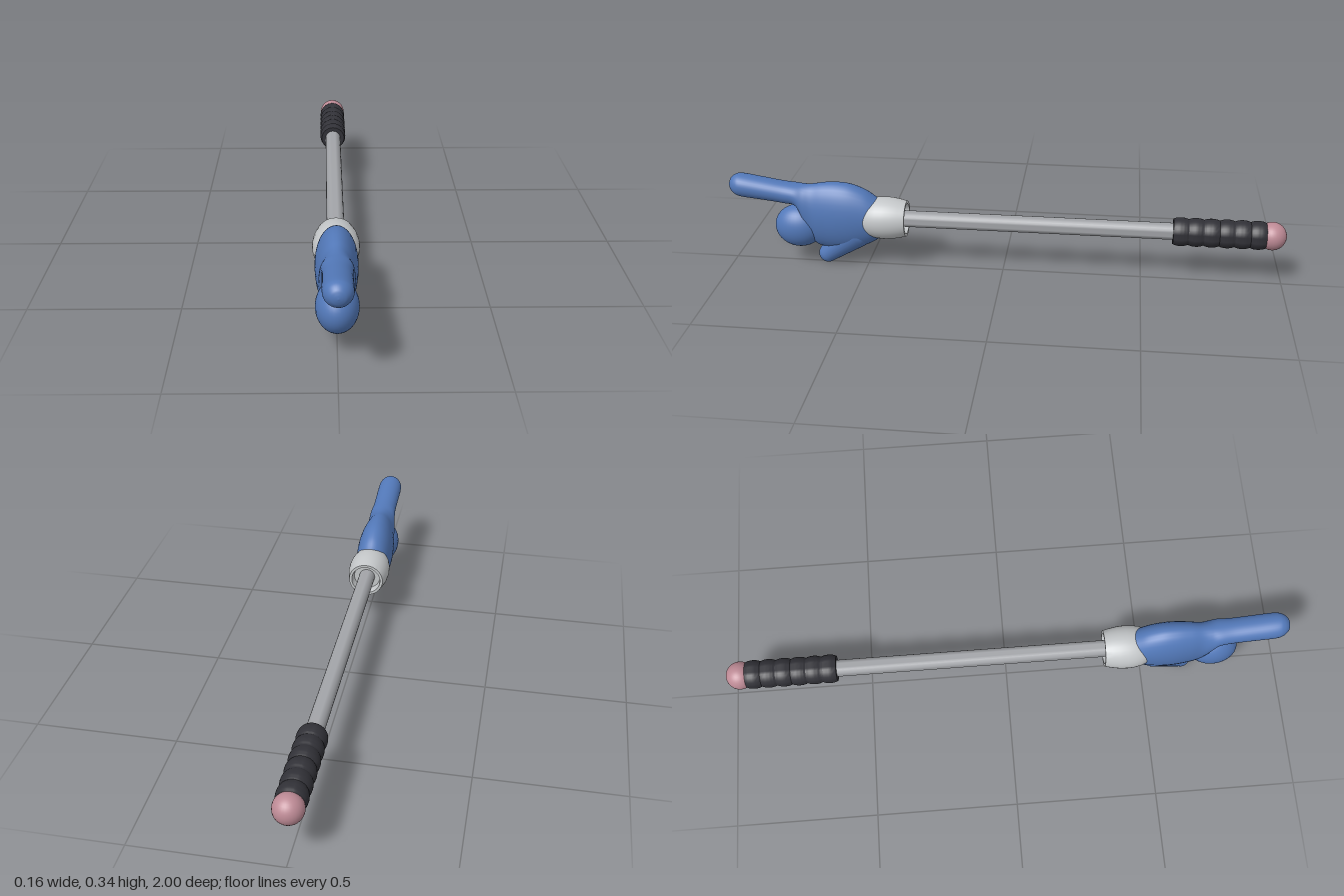
import * as THREE from 'three';
import { toCreasedNormals } from 'three/addons/utils/BufferGeometryUtils.js';

const AXIS_Y = 0.19;
const mat = (name, color) => {
  const m = new THREE.MeshStandardMaterial({ color });
  m.name = name;
  return m;
};

// Lathe around the z axis; points are [radius, z] with z rising along the outside
function turned(points, segments = 32) {
  const geo = new THREE.LatheGeometry(points.map(([r, z]) => new THREE.Vector2(r, z)), segments);
  return toCreasedNormals(geo.rotateX(Math.PI / 2), 0.8);
}

// Capsule along y with a different radius at each end
function taperedCapsule(r0, r1, length) {
  const pts = [];
  for (let i = 0; i <= 8; i++) {
    const a = -Math.PI / 2 + (i / 8) * (Math.PI / 2);
    pts.push(new THREE.Vector2(Math.max(r0 * Math.cos(a), 0), r0 * Math.sin(a)));
  }
  for (let i = 0; i <= 8; i++) {
    const a = (i / 8) * (Math.PI / 2);
    pts.push(new THREE.Vector2(Math.max(r1 * Math.cos(a), 0), length + r1 * Math.sin(a)));
  }
  return new THREE.LatheGeometry(pts, 28);
}

// Smooth loft along z through elliptical sections [z, bottom, top, halfWidth]
function loft(sections, steps, sides) {
  const upper = new THREE.CatmullRomCurve3(
    sections.map(([z, , top, w]) => new THREE.Vector3(w, top, z)), false, 'catmullrom', 0.5);
  const lower = new THREE.CatmullRomCurve3(
    sections.map(([z, low]) => new THREE.Vector3(0, low, z)), false, 'catmullrom', 0.5);
  const pos = [], index = [];
  for (let i = 0; i <= steps; i++) {
    const u = upper.getPoint(i / steps), l = lower.getPoint(i / steps);
    const cy = (u.y + l.y) / 2, hy = (u.y - l.y) / 2;
    for (let j = 0; j < sides; j++) {
      const a = (j / sides) * Math.PI * 2;
      pos.push(u.x * Math.cos(a), cy + hy * Math.sin(a), u.z);
      if (i === steps) continue;
      const p = i * sides + j, q = i * sides + ((j + 1) % sides);
      index.push(p, q, p + sides, q, q + sides, p + sides);
    }
  }
  const geo = new THREE.BufferGeometry();
  geo.setAttribute('position', new THREE.Float32BufferAttribute(pos, 3));
  geo.setIndex(index);
  geo.computeVertexNormals();
  return geo;
}

export function createModel() {
  const blue = mat('glove blue', 0x5278b8);
  const cuffGrey = mat('cuff light grey', 0xc4c7c9);
  const rodGrey = mat('rod grey', 0xa2a4a8);
  const black = mat('grip black', 0x313137);
  const pink = mat('ball pink', 0xbd8a95);

  const model = new THREE.Group();
  model.name = 'pointingHandStick';
  const add = (name, geo, material, parent = model) => {
    const mesh = new THREE.Mesh(geo, material);
    mesh.name = name;
    parent.add(mesh);
    return mesh;
  };

  // Stick, grip and end ball share one axis
  const stick = new THREE.Group();
  stick.name = 'stick';
  stick.position.y = AXIS_Y;
  model.add(stick);
  add('rod', turned([[0, -0.65], [0.03, -0.65], [0.03, 0.4], [0, 0.4]], 24), rodGrey, stick);

  // Grip with rounded ridges
  const grip = [[0, -0.928], [0.044, -0.928]];
  const ridges = 6, steps = 8, z0 = -0.928, z1 = -0.605;
  for (let i = 0; i <= ridges * steps; i++) {
    const t = i / (ridges * steps);
    grip.push([0.045 + 0.006 * Math.abs(Math.sin(t * ridges * Math.PI)) ** 0.7, z0 + (z1 - z0) * t]);
  }
  grip.push([0, z1]);
  add('grip', turned(grip), black, stick);

  const ball = add('endBall', new THREE.SphereGeometry(0.05, 28, 20), pink, stick);
  ball.position.z = -0.95;

  // Hollow cuff: recessed floor, inner wall, rim, then bulging outside
  add('cuff', turned([
    [0, 0.38], [0.05, 0.38], [0.055, 0.35], [0.065, 0.35], [0.071, 0.375], [0.0755, 0.4],
    [0.0775, 0.43], [0.076, 0.455], [0.071, 0.48], [0.062, 0.502], [0.045, 0.52], [0, 0.53],
  ], 36), cuffGrey, stick);

  // Hand: palm flowing into the pointing finger
  const hand = new THREE.Group();
  hand.name = 'hand';
  model.add(hand);
  add('palmAndPointingFinger', loft([
    [0.42, 0.14, 0.24, 0.04], [0.46, 0.105, 0.267, 0.055], [0.5, 0.082, 0.295, 0.063],
    [0.55, 0.065, 0.315, 0.068], [0.6, 0.06, 0.321, 0.068], [0.65, 0.065, 0.318, 0.063],
    [0.69, 0.08, 0.311, 0.057], [0.72, 0.14, 0.309, 0.055], [0.75, 0.222, 0.31, 0.05],
    [0.8, 0.235, 0.315, 0.046], [0.87, 0.244, 0.326, 0.046], [0.945, 0.252, 0.338, 0.046],
    [0.972, 0.258, 0.337, 0.04], [0.99, 0.272, 0.325, 0.027], [0.997, 0.285, 0.312, 0.014],
    [1.0, 0.2985, 0.2985, 0],
  ], 90, 36), blue, hand);

  // Curled fingers
  const curled = add('curledFingers', new THREE.SphereGeometry(1, 36, 24), blue, hand);
  curled.scale.set(0.067, 0.08, 0.09);
  curled.position.set(0, 0.144, 0.75);

  // Thumb, running from the palm down to its tip
  const from = new THREE.Vector3(0, 0.125, 0.54), to = new THREE.Vector3(0, 0.036, 0.65);
  const dir = to.clone().sub(from);
  const thumb = add('thumb', taperedCapsule(0.058, 0.035, dir.length()), blue, hand);
  thumb.position.copy(from);
  thumb.quaternion.setFromUnitVectors(new THREE.Vector3(0, 1, 0), dir.normalize());

  return model;
}
